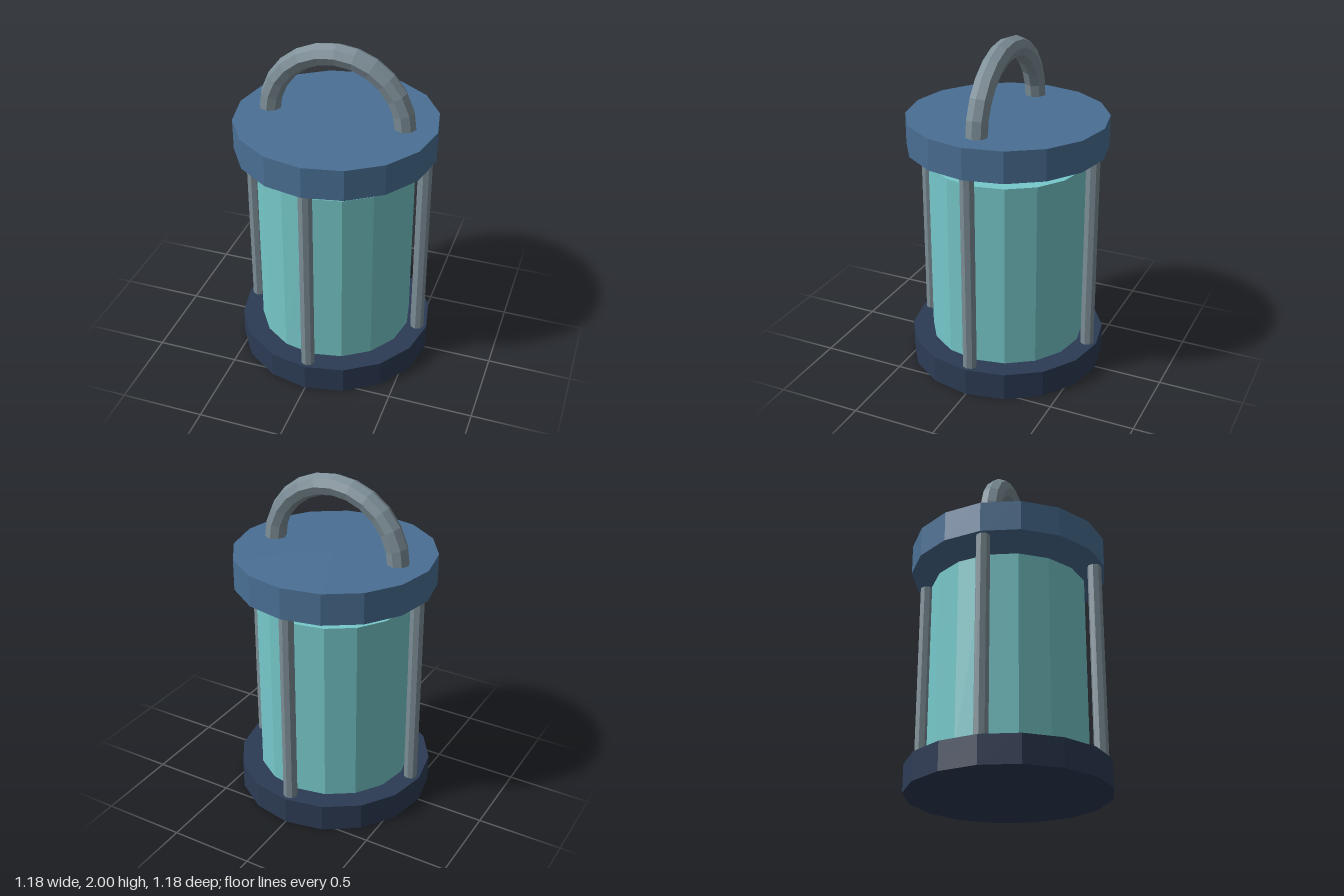
import * as THREE from 'three';

const material = (color) => new THREE.MeshStandardMaterial({ color, flatShading: true });

export function createModel() {
  const lantern = new THREE.Group();
  lantern.name = 'lantern';

  const navy = material(0x2c3b54);
  const blue = material(0x4a6f94);
  const teal = material(0x76c8ca);
  const steel = material(0x7d8e97);

  // Upright prism between two heights
  function addColumn(name, radius, y0, y1, sides, mat, x = 0, z = 0) {
    const mesh = new THREE.Mesh(new THREE.CylinderGeometry(radius, radius, y1 - y0, sides), mat);
    mesh.name = name;
    mesh.position.set(x, (y0 + y1) / 2, z);
    lantern.add(mesh);
  }

  addColumn('base', 0.59, 0, 0.165, 16, navy);
  addColumn('glass', 0.465, 0.155, 1.28, 16, teal);
  addColumn('cap', 0.59, 1.365, 1.55, 16, blue);

  // Four posts around the glass
  for (let i = 0; i < 4; i++) {
    const a = (i * Math.PI) / 2;
    addColumn('post', 0.042, 0.15, 1.38, 8, steel, 0.53 * Math.cos(a), 0.53 * Math.sin(a));
  }

  // Half-ring handle, its ends sunk into the cap
  const handle = new THREE.Mesh(new THREE.TorusGeometry(0.405, 0.065, 8, 12, Math.PI), steel);
  handle.name = 'handle';
  handle.position.y = 1.53;
  lantern.add(handle);

  return lantern;
}
